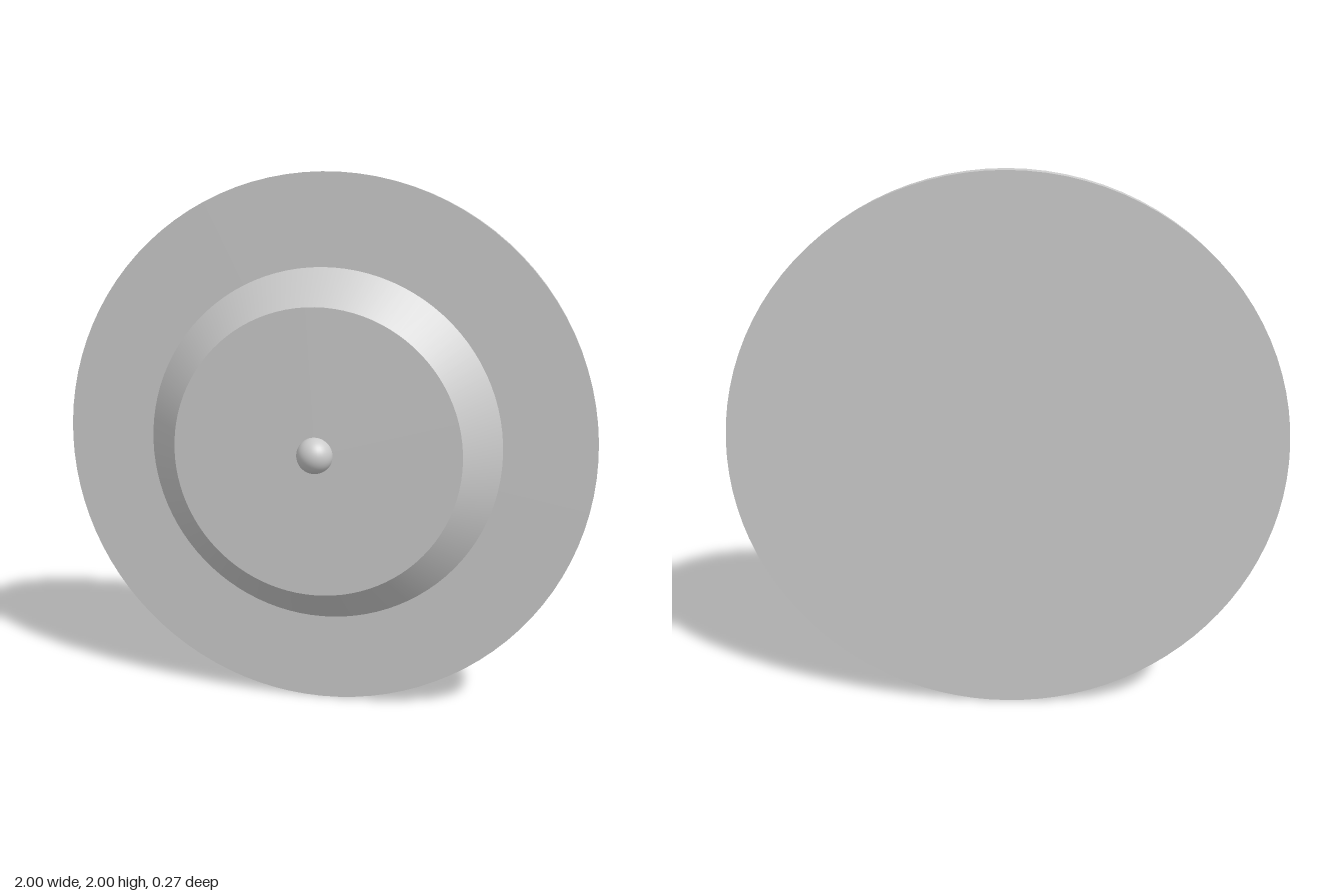
import * as THREE from 'three';

const CENTRE_Y = 1;
const UNIT = 1 / 15; // radius of the knob; every other size is a multiple of it

export function createModel() {
  const model = new THREE.Group();
  model.name = 'roundShield';
  const material = new THREE.MeshStandardMaterial({ color: 0xcccccc });

  const add = (name, geometry, z) => {
    const mesh = new THREE.Mesh(geometry, material);
    mesh.name = name;
    mesh.position.set(0, CENTRE_Y, z);
    model.add(mesh);
  };

  // Round section whose axis points to the front
  const disc = (frontRadius, backRadius, depth) =>
    new THREE.CylinderGeometry(frontRadius, backRadius, depth, 96).rotateX(Math.PI / 2);

  // Flat back plate
  add('plate', disc(1, 1, UNIT), -1.5 * UNIT);

  // Raised centre with a sloping rim
  add('raisedCentre', disc(8 * UNIT, 10 * UNIT, 2 * UNIT), 0);

  // Small ball half sunk into the front face
  add('knob', new THREE.SphereGeometry(UNIT, 32, 24), UNIT);

  return model;
}
